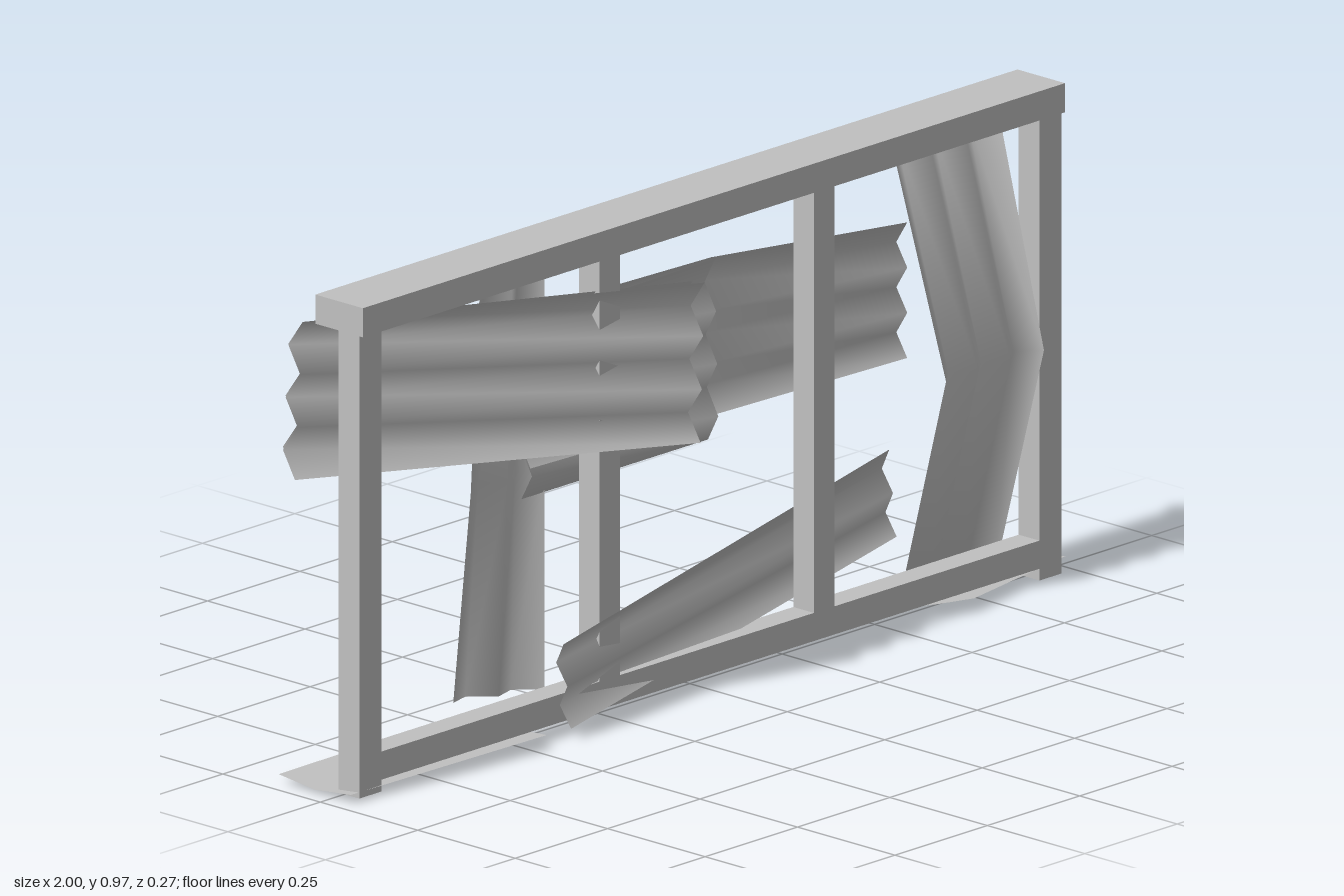
import * as THREE from 'three';

export function createModel() {
  const model = new THREE.Group();
  model.name = 'patchedFence';
  const grey = new THREE.MeshStandardMaterial({ color: 0xc0c0c0, side: THREE.DoubleSide });
  grey.name = 'plainGrey';

  // Box given by its limits on each axis
  function beam(name, x0, x1, y0, y1, z0, z1) {
    const mesh = new THREE.Mesh(new THREE.BoxGeometry(x1 - x0, y1 - y0, z1 - z0), grey);
    mesh.position.set((x0 + x1) / 2, (y0 + y1) / 2, (z0 + z1) / 2);
    mesh.name = name;
    model.add(mesh);
  }

  // Corrugated sheet: each station holds its two edge points; ridges zigzag along an axis
  function sheet(name, stations, folds, depth, axis = 'z') {
    const pos = [], index = [], row = folds + 1;
    stations.forEach(([a, b], i) => {
      const start = new THREE.Vector3(...a), end = new THREE.Vector3(...b);
      for (let j = 0; j < row; j++) {
        const p = start.clone().lerp(end, j / folds);
        p[axis] += j % 2 ? -depth : depth;
        pos.push(p.x, p.y, p.z);
        if (i && j) {
          const v = i * row + j;
          index.push(v - row - 1, v - 1, v, v - row - 1, v, v - row);
        }
      }
    });
    const geo = new THREE.BufferGeometry();
    geo.setAttribute('position', new THREE.Float32BufferAttribute(pos, 3));
    geo.setIndex(index);
    geo.computeVertexNormals();
    const mesh = new THREE.Mesh(geo, grey);
    mesh.name = name;
    model.add(mesh);
  }

  // Timber frame
  beam('topBeam', -0.95, 0.95, 0.915, 0.972, -0.06, 0.062);
  beam('bottomRail', -0.89, 0.89, 0.035, 0.09, 0, 0.053);
  beam('rightPost', -0.95, -0.89, 0.012, 0.915, 0, 0.053);
  beam('leftPost', 0.89, 0.95, 0.012, 0.915, 0, 0.053);
  beam('rightStud', -0.3, -0.245, 0.09, 0.915, 0, 0.053);
  beam('leftStud', 0.28, 0.335, 0.09, 0.915, 0, 0.053);

  // Slanting sheet that runs from behind the post to the front, in two layers
  sheet('slantedSheet', [
    [[-0.97, 0.92, -0.09], [-1, 0.62, -0.082]],
    [[-0.075, 0.83, 0.092], [-0.11, 0.53, 0.115]],
  ], 6, 0.017);
  sheet('slantedSheetBacking', [
    [[-0.965, 0.918, -0.095], [-0.995, 0.625, -0.087]],
    [[-0.08, 0.828, 0.066], [-0.113, 0.532, 0.09]],
  ], 6, 0.017);

  // Upright sheet on the model's left, bent forward at mid height
  sheet('leftUprightSheet', [
    [[0.59, 0.915, -0.06], [0.88, 0.91, -0.06]],
    [[0.59, 0.48, 0.08], [0.855, 0.48, 0.08]],
    [[0.59, 0.005, -0.045], [0.85, 0.005, -0.045]],
  ], 6, 0.018);

  // Upright sheet on the model's right, with its outer edge kicked back at the foot
  sheet('rightUprightSheet', [
    [[-0.36, 0.905, -0.045], [-0.52, 0.88, -0.06]],
    [[-0.36, 0.5, -0.045], [-0.56, 0.5, -0.045]],
    [[-0.36, 0.07, -0.045], [-0.56, 0.08, -0.09]],
  ], 4, 0.014);

  // Overlapping level sheets behind the studs
  sheet('longLevelSheet', [
    [[-0.42, 0.83, -0.025], [-0.42, 0.52, -0.025]],
    [[0.08, 0.815, -0.035], [0.08, 0.51, -0.025]],
    [[0.6, 0.765, -0.025], [0.6, 0.5, -0.025]],
  ], 6, 0.014);
  sheet('shortLevelSheet', [
    [[-0.42, 0.81, -0.025], [-0.42, 0.455, -0.02]],
    [[0.085, 0.812, -0.03], [0.085, 0.455, -0.02]],
  ], 7, 0.014);

  // Low slanting sheet passing in front of one stud and behind the other
  sheet('lowSheet', [
    [[-0.43, 0.2, 0.072], [-0.41, 0.03, 0.072]],
    [[0.58, 0.32, -0.05], [0.6, 0.145, -0.05]],
  ], 4, 0.012);

  // Shallow folded sheets lying on the ground
  sheet('rightGroundSheet', [
    [[-0.97, 0.018, -0.135], [-0.97, 0.018, 0.05]],
    [[-0.465, 0.03, -0.118], [-0.48, 0.03, 0.088]],
  ], 2, 0.005, 'y');
  sheet('leftGroundSheet', [
    [[0.445, 0.032, -0.08], [0.6, 0.032, 0.07]],
    [[0.7, 0.028, -0.092], [0.68, 0.028, 0.085]],
    [[0.995, 0.023, -0.105], [0.995, 0.023, 0.02]],
  ], 2, 0.005, 'y');

  return model;
}
